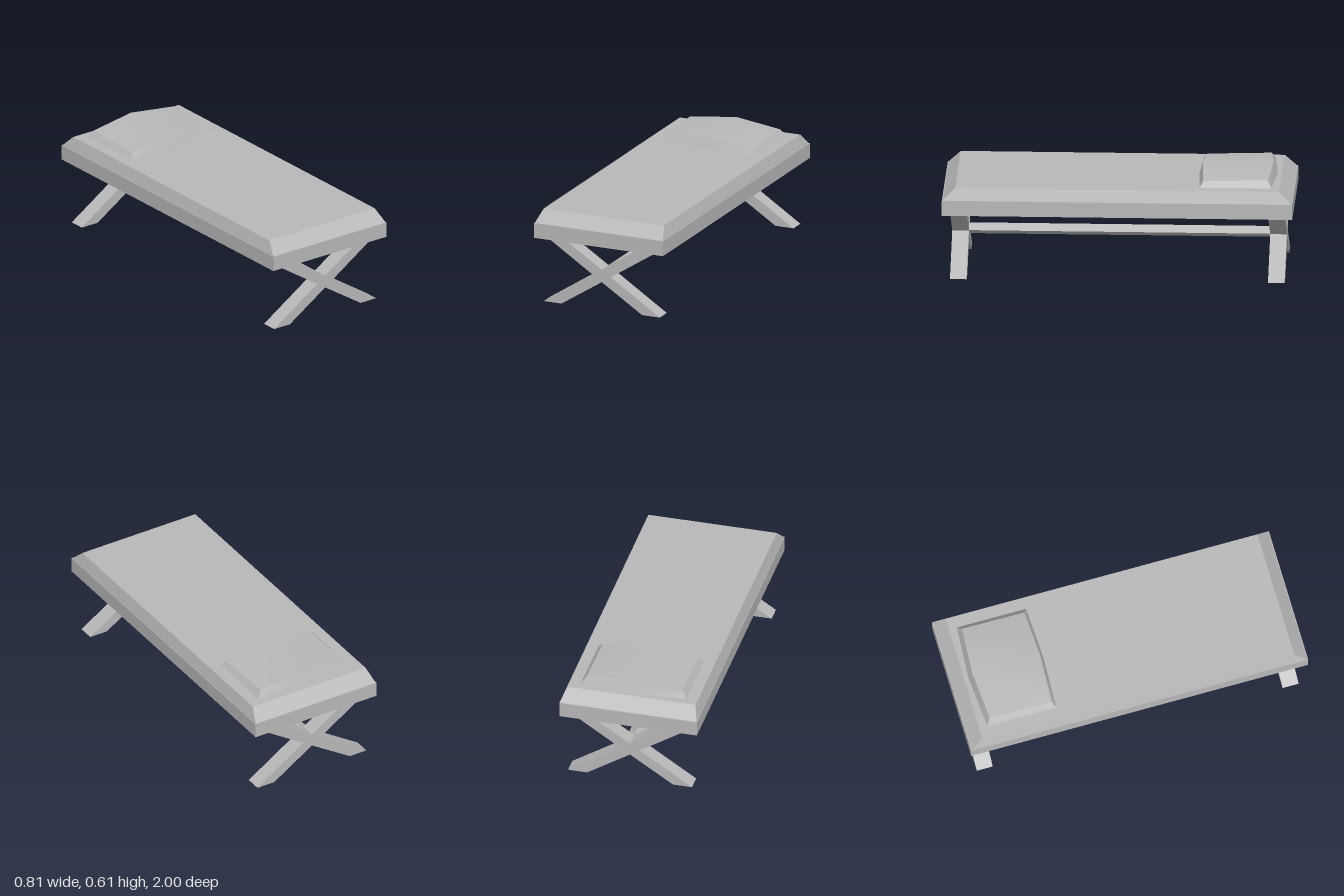
import * as THREE from 'three';
import { toCreasedNormals } from 'three/addons/utils/BufferGeometryUtils.js';

export function createModel() {
  const group = new THREE.Group();
  const grey = new THREE.MeshStandardMaterial({ color: 0xb8b8b8 });
  grey.name = 'plain grey';

  const add = (name, geometry, x = 0, y = 0, z = 0) => {
    const mesh = new THREE.Mesh(geometry, grey);
    mesh.name = name;
    mesh.position.set(x, y, z);
    group.add(mesh);
    return mesh;
  };

  // Mattress: a box whose upper vertices are drawn in to slope the edges
  const mattress = new THREE.BoxGeometry(0.804, 0.069, 1.99).toNonIndexed();
  const p = mattress.attributes.position;
  for (let i = 0; i < p.count; i++) {
    if (p.getY(i) > 0) {
      p.setX(i, Math.sign(p.getX(i)) * 0.378);
      p.setZ(i, Math.sign(p.getZ(i)) * 0.925);
    }
  }
  mattress.computeVertexNormals();
  add('mattress', mattress, 0, 0.5105, 0);

  // Bed frame: four thin boards, open underneath
  const wall = 0.012;
  for (const s of [-1, 1]) {
    add('sideBoard', new THREE.BoxGeometry(wall, 0.089, 2), s * (0.405 - wall / 2), 0.4315, 0);
    add('endBoard', new THREE.BoxGeometry(0.81 - 2 * wall, 0.089, wall), 0, 0.4315, s * (1 - wall / 2));
  }

  // Crossed legs: one X outline per end, cut level at floor and frame
  const xShape = new THREE.Shape([
    [-0.365, 0], [-0.253, 0], [0, 0.163], [0.253, 0], [0.365, 0], [0.057, 0.2],
    [0.365, 0.4], [0.253, 0.4], [0, 0.237], [-0.253, 0.4], [-0.365, 0.4], [-0.057, 0.2],
  ].map(([x, y]) => new THREE.Vector2(x, y)));
  for (const z of [-0.955, 0.86]) {
    add('crossedLegs', new THREE.ExtrudeGeometry(xShape, { depth: 0.095, bevelEnabled: false }), 0, 0, z);
  }

  // Long diamond-section rail joining the leg crossings
  const diamond = new THREE.Shape([
    [-0.05, 0.2], [0, 0.168], [0.05, 0.2], [0, 0.232],
  ].map(([x, y]) => new THREE.Vector2(x, y)));
  add('stretcher', new THREE.ExtrudeGeometry(diamond, { depth: 1.72, bevelEnabled: false }), 0, 0, -0.86);

  // Pillow: three cross-sections, each running base front, top front, top back, base back
  const edge = (s) => [
    [s * 0.312, 0.545, -0.467], [s * 0.282, 0.575, -0.487],
    [s * 0.282, 0.585, -0.855], [s * 0.312, 0.545, -0.878],
  ];
  const middle = [[0, 0.545, -0.455], [0, 0.613, -0.475], [0, 0.613, -0.878], [0, 0.545, -0.9]];
  const index = [];
  const quad = (a, b, c, d) => index.push(a, b, c, a, c, d);
  for (let i = 0; i < 2; i++) {
    for (let j = 0; j < 4; j++) {
      const k = (j + 1) % 4;
      quad(i * 4 + j, i * 4 + 4 + j, i * 4 + 4 + k, i * 4 + k);
    }
  }
  quad(0, 1, 2, 3);
  quad(11, 10, 9, 8);
  const pillow = new THREE.BufferGeometry();
  pillow.setAttribute('position',
    new THREE.Float32BufferAttribute([...edge(-1), ...middle, ...edge(1)].flat(), 3));
  pillow.setIndex(index);
  add('pillow', toCreasedNormals(pillow, 0.5));

  return group;
}
